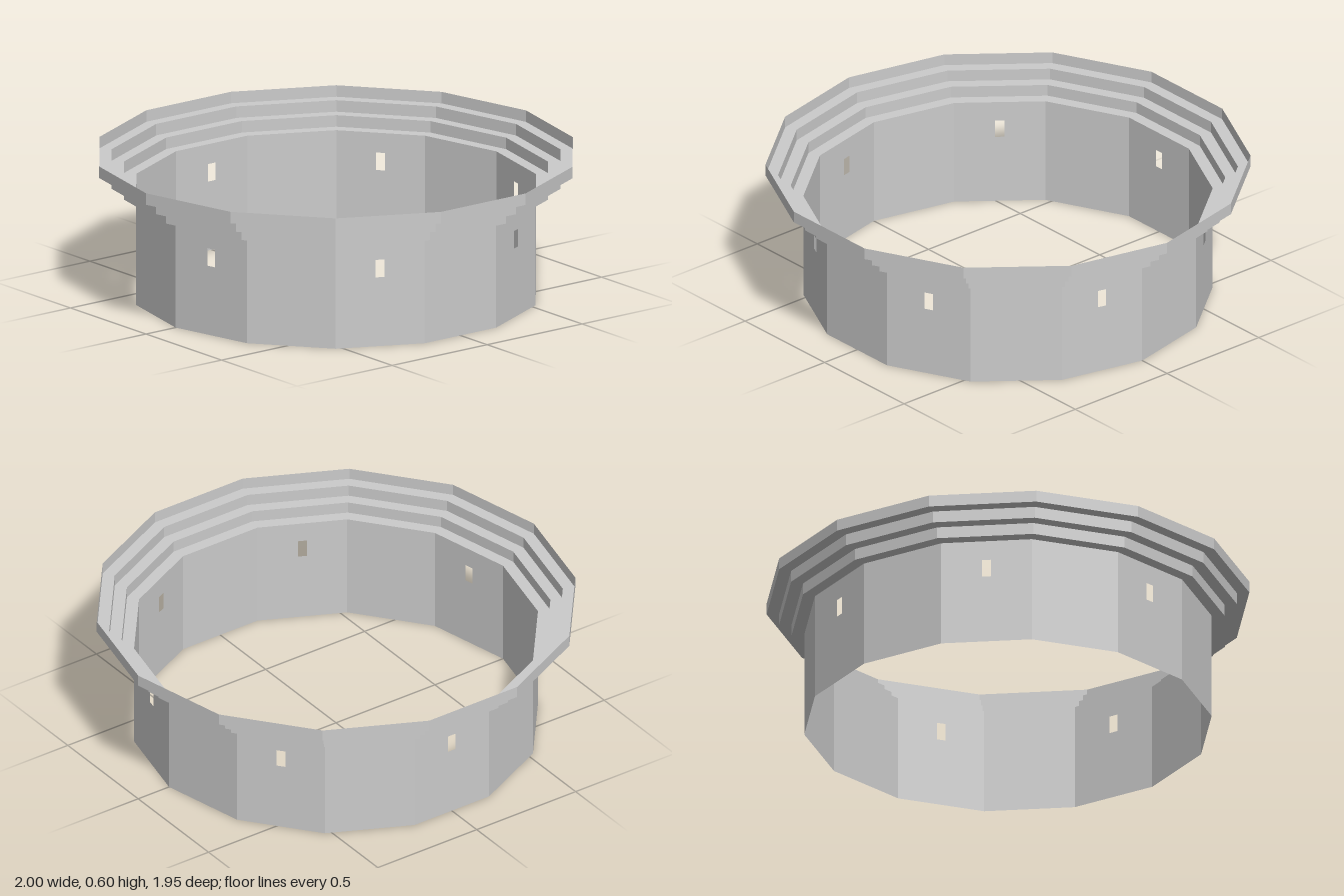
import * as THREE from 'three';

const SIDES = 14;
const STEP = (Math.PI * 2) / SIDES;
const WALL_R = 0.844;
const WALL_H = 0.455;

// One flat wall panel, optionally pierced by a small window
function panelGeometry(withWindow) {
  const half = WALL_R * Math.sin(STEP / 2);
  const shape = new THREE.Shape();
  shape.moveTo(-half, 0).lineTo(half, 0).lineTo(half, WALL_H).lineTo(-half, WALL_H).closePath();
  if (withWindow) {
    const w = 0.019, y0 = 0.295, y1 = 0.37;
    const hole = new THREE.Path();
    hole.moveTo(-w, y0).lineTo(-w, y1).lineTo(w, y1).lineTo(w, y0).closePath();
    shape.holes.push(hole);
  }
  return new THREE.ShapeGeometry(shape);
}

export function createModel() {
  const group = new THREE.Group();
  group.name = 'steppedRing';
  const material = new THREE.MeshStandardMaterial({
    color: 0xcccccc, flatShading: true, side: THREE.DoubleSide,
  });

  // Drum wall: thin panels, every second one has a window
  const wall = new THREE.Group();
  wall.name = 'drumWall';
  const plain = panelGeometry(false);
  const pierced = panelGeometry(true);
  const apothem = WALL_R * Math.cos(STEP / 2);
  for (let i = 0; i < SIDES; i++) {
    const a = (i + 0.5) * STEP;
    const panel = new THREE.Mesh(i % 2 === 0 ? pierced : plain, material);
    panel.name = i % 2 === 0 ? 'windowPanel' : 'plainPanel';
    panel.position.set(apothem * Math.cos(a), 0, apothem * Math.sin(a));
    panel.rotation.y = Math.PI / 2 - a;
    wall.add(panel);
  }
  group.add(wall);

  // Cornice: three thin steps flaring outward
  const profile = [new THREE.Vector2(WALL_R, WALL_H)];
  const stepRise = 0.0493;
  [0.896, 0.948, 1].forEach((r, i) => {
    const y = WALL_H + i * stepRise;
    profile.push(new THREE.Vector2(r, y), new THREE.Vector2(r, y + stepRise));
  });
  const cornice = new THREE.Mesh(new THREE.LatheGeometry(profile, SIDES, Math.PI / 2), material);
  cornice.name = 'steppedCornice';
  group.add(cornice);

  return group;
}
